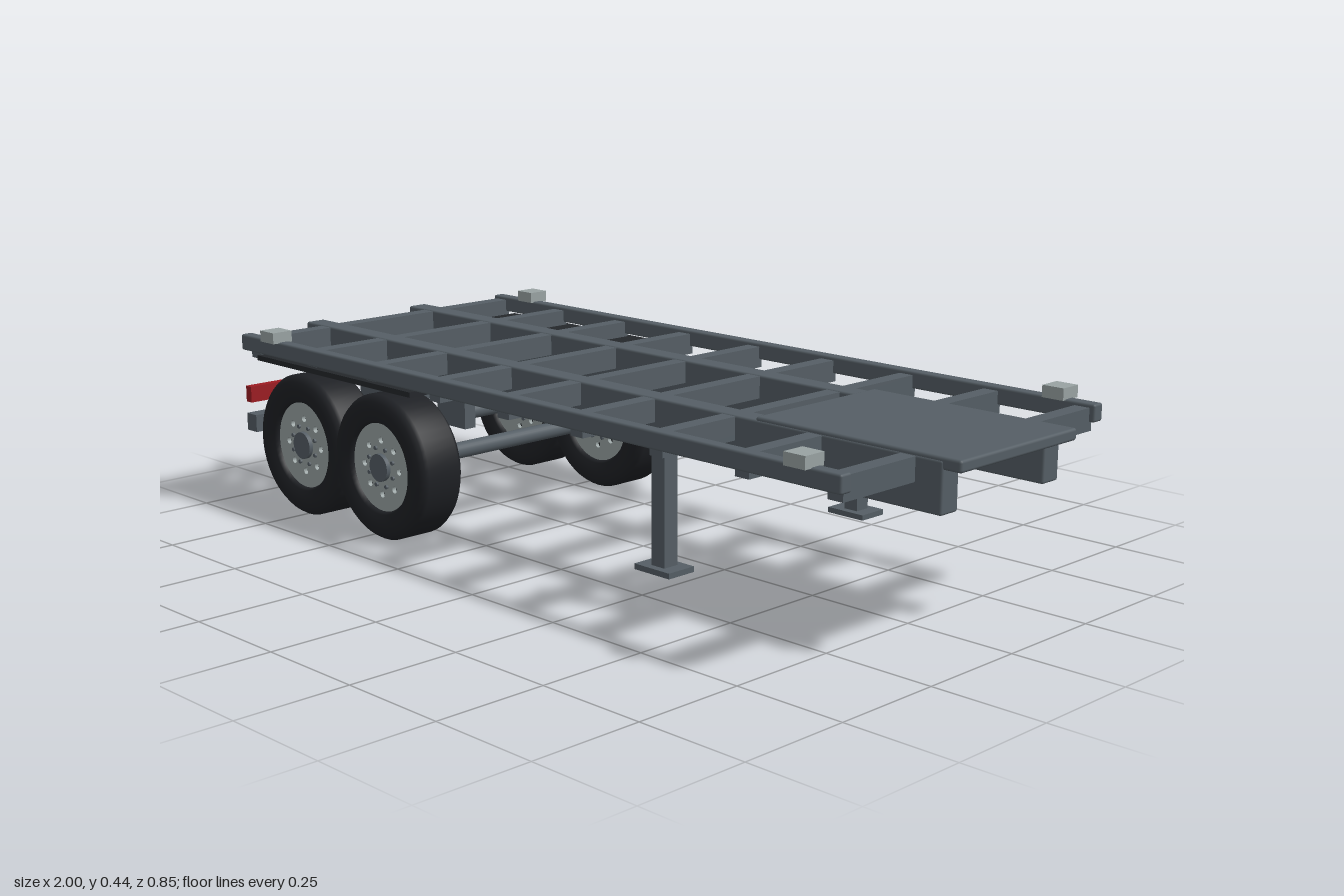
import * as THREE from 'three';
import { RoundedBoxGeometry } from 'three/addons/geometries/RoundedBoxGeometry.js';

const mat = (color) => new THREE.MeshStandardMaterial({ color });

export function createModel() {
  const trailer = new THREE.Group();
  trailer.name = 'trailer';
  const steel = mat(0x555e65), pale = mat(0x99a3a3), rubber = mat(0x1e2024), dark = mat(0x24272b), red = mat(0x9c1c22);

  const add = (name, geometry, material, parent = trailer) => {
    const mesh = new THREE.Mesh(geometry, material);
    mesh.name = name;
    parent.add(mesh);
    return mesh;
  };
  // Box given by its extents; a radius softens its edges
  const box = (name, [x0, x1], [y0, y1], [z0, z1], material = steel, radius = 0) => {
    const size = [x1 - x0, y1 - y0, z1 - z0];
    const geometry = radius ? new RoundedBoxGeometry(...size, 2, radius) : new THREE.BoxGeometry(...size);
    add(name, geometry, material).position.set((x0 + x1) / 2, (y0 + y1) / 2, (z0 + z1) / 2);
  };
  // The same box on both sides of the trailer
  const pair = (name, x, y, [z0, z1], material, radius) => {
    box(name + 'Front', x, y, [z0, z1], material, radius);
    box(name + 'Back', x, y, [-z1, -z0], material, radius);
  };

  // Frame
  pair('mainRail', [-1, 0.96], [0.3, 0.405], [0.135, 0.186], steel, 0.005);
  pair('sideRail', [-0.95, 0.91], [0.373, 0.411], [0.381, 0.411], steel, 0.005);
  [-0.92, -0.695, -0.47, -0.245, -0.02, 0.205, 0.43, 0.655, 0.88].forEach((x) =>
    box('crossBeam', [x - 0.018, x + 0.018], [0.354, 0.403], [-0.39, 0.39]));
  box('couplingPlate', [0.5, 1], [0.387, 0.412], [-0.184, 0.184], steel, 0.006);
  const kingpin = add('kingpin', new THREE.CylinderGeometry(0.015, 0.015, 0.045, 20), pale);
  kingpin.position.set(0.68, 0.367, 0);

  // Container locks on the side rails
  for (const x of [-0.82, 0.813]) pair('cornerLock', [x - 0.026, x + 0.026], [0.409, 0.435], [0.374, 0.426], pale);

  // Landing legs
  pair('landingLeg', [0.347, 0.383], [0.1, 0.336], [0.282, 0.319]);
  pair('landingFoot', [0.315, 0.413], [0.09, 0.102], [0.265, 0.336]);

  // Rear bar, lamps and mudguards
  box('rearBar', [-0.987, -0.949], [0.165, 0.207], [-0.38, 0.38]);
  pair('tailLamp', [-1, -0.979], [0.232, 0.271], [0.267, 0.371], red);
  pair('mudguard', [-0.895, -0.315], [0.354, 0.366], [0.265, 0.404], dark);

  // Tyre section revolved about the axle: radius, then offset across the width
  const tyreProfile = [
    [0.102, -0.047], [0.108, -0.056], [0.135, -0.06], [0.153, -0.059], [0.163, -0.05],
    [0.168, -0.042], [0.168, 0.042], [0.163, 0.05], [0.153, 0.059], [0.135, 0.06],
    [0.108, 0.056], [0.102, 0.047], [0.102, -0.047],
  ].map(([r, h]) => new THREE.Vector2(r, h));
  const tyreGeometry = new THREE.LatheGeometry(tyreProfile, 48).rotateX(Math.PI / 2);

  // Rim disc with a ring of round openings
  const disc = new THREE.Shape().absarc(0, 0, 0.104, 0, Math.PI * 2);
  for (let i = 0; i < 8; i++) {
    const a = (i / 8) * Math.PI * 2;
    disc.holes.push(new THREE.Path().absarc(Math.cos(a) * 0.063, Math.sin(a) * 0.063, 0.008, 0, Math.PI * 2, true));
  }
  const rimGeometry = new THREE.ExtrudeGeometry(disc, { depth: 0.09, bevelEnabled: false, curveSegments: 24 }).translate(0, 0, -0.045);
  const coreGeometry = new THREE.CylinderGeometry(0.08, 0.08, 0.07, 32).rotateX(Math.PI / 2);
  const hubGeometry = new THREE.CylinderGeometry(0.032, 0.032, 0.11, 24).rotateX(Math.PI / 2);
  const nutGeometry = new THREE.CylinderGeometry(0.005, 0.005, 0.1, 6).rotateX(Math.PI / 2);

  // Two axles with hangers and a wheel at each end
  for (const x of [-0.75, -0.455]) {
    const axle = add('axle', new THREE.CylinderGeometry(0.019, 0.019, 0.64, 24).rotateX(Math.PI / 2), steel);
    axle.position.set(x, 0.168, 0);
    pair('axleHanger', [x - 0.05, x + 0.05], [0.23, 0.305], [0.145, 0.176]);
    for (const side of [1, -1]) {
      const wheel = new THREE.Group();
      wheel.name = side > 0 ? 'wheelFront' : 'wheelBack';
      wheel.position.set(x, 0.168, side * 0.335);
      trailer.add(wheel);
      add('tyre', tyreGeometry, rubber, wheel);
      add('rim', rimGeometry, pale, wheel);
      add('rimCore', coreGeometry, dark, wheel);
      add('hub', hubGeometry, steel, wheel);
      for (let i = 0; i < 8; i++) {
        const a = ((i + 0.5) / 8) * Math.PI * 2;
        add('wheelNut', nutGeometry, steel, wheel).position.set(Math.cos(a) * 0.046, Math.sin(a) * 0.046, 0);
      }
    }
  }
  return trailer;
}
